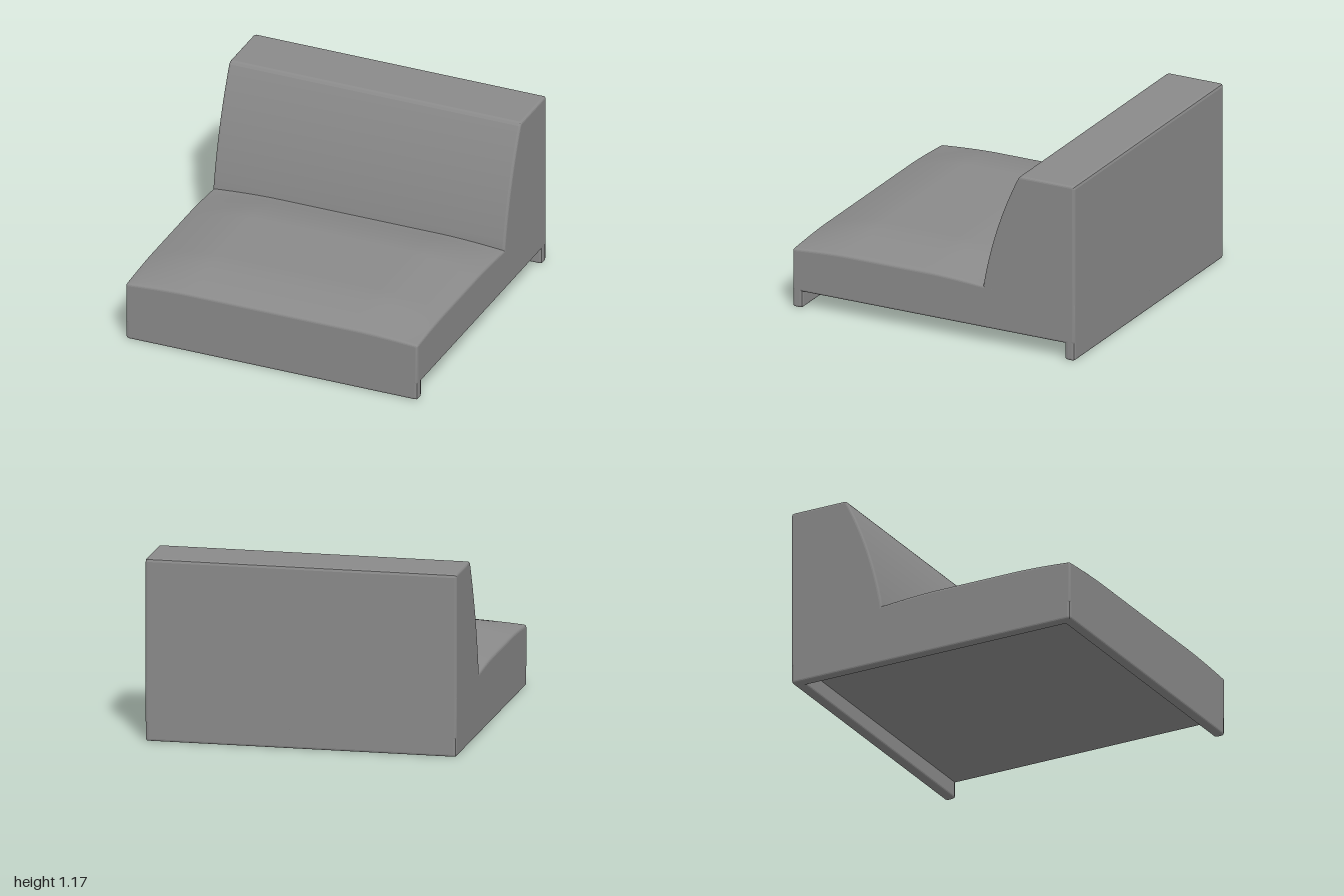
import * as THREE from 'three';
import { toCreasedNormals } from 'three/addons/utils/BufferGeometryUtils.js';

const R = 0.015; // edge rounding
const CORNER = 0.02; // rounding of outline corners
const SEAT_TOP = 0.485, SEAT_BOTTOM = 0.11;

function addPart(group, name, geometry) {
  const material = new THREE.MeshStandardMaterial({ color: 0x8a8a8a });
  // A small crease angle keeps the large faces flat beside their roundings
  const mesh = new THREE.Mesh(toCreasedNormals(geometry, 0.2), material);
  mesh.name = name;
  group.add(mesh);
}

// Segmented box with rounded edges
function roundedBlock(w, h, d, segs, r, k = 2) {
  const geo = new THREE.BoxGeometry(1, 1, 1, ...segs);
  const pos = geo.attributes.position;
  const sizes = [w, h, d];
  const p = new THREE.Vector3(), inner = new THREE.Vector3();
  for (let i = 0; i < pos.count; i++) {
    p.fromBufferAttribute(pos, i);
    for (let a = 0; a < 3; a++) {
      const n = segs[a], half = sizes[a] / 2;
      const j = Math.round((p.getComponent(a) + 0.5) * n);
      // The outer k rows on each side fall inside the rounding
      let v;
      if (j <= k) v = -half + (r * j) / k;
      else if (j >= n - k) v = half - (r * (n - j)) / k;
      else v = -half + r + ((j - k) / (n - 2 * k)) * 2 * (half - r);
      p.setComponent(a, v);
      inner.setComponent(a, THREE.MathUtils.clamp(v, r - half, half - r));
    }
    p.sub(inner).setLength(r).add(inner);
    pos.setXYZ(i, p.x, p.y, p.z);
  }
  return geo;
}

// Closed outline from [a, b, rounded] corners
function outline(corners) {
  const pts = corners.map(([a, b]) => new THREE.Vector2(a, b));
  const result = pts.flatMap((p, i) => {
    if (!corners[i][2]) return [p];
    const toward = (q) => q.clone().sub(p).setLength(CORNER).add(p);
    const before = toward(pts.at(i - 1)), after = toward(pts[(i + 1) % pts.length]);
    return new THREE.QuadraticBezierCurve(before, p, after).getPoints(2);
  });
  return new THREE.Shape(result);
}

function extrudeRounded(shape, depth) {
  return new THREE.ExtrudeGeometry(shape, {
    depth: depth - 2 * R, bevelEnabled: true, bevelThickness: R, bevelSize: R,
    bevelOffset: -R, bevelSegments: 3,
  }).translate(0, 0, R);
}

// How far the padded seat drops from its flat middle
function seatDrop(x, z) {
  const ease = (u, flat) => Math.pow(THREE.MathUtils.clamp((u - flat) / (1 - flat), 0, 1), 1.6);
  const fx = ease(Math.abs(x), 0.57);
  const fz = ease(Math.abs(z - 0.325) / 0.675, 0.42);
  return 0.075 * (fx + fz) - 0.055 * fx * fz;
}

export function createModel() {
  const group = new THREE.Group();
  group.name = 'sofaModule';

  // Seat block with a gently crowned top
  const height = SEAT_TOP - SEAT_BOTTOM;
  const seat = roundedBlock(2, height, 2, [52, 5, 52], R);
  seat.translate(0, SEAT_BOTTOM + height / 2, 0);
  const pos = seat.attributes.position;
  for (let i = 0; i < pos.count; i++) {
    if (pos.getY(i) > 0.3) pos.setY(i, pos.getY(i) - seatDrop(pos.getX(i), pos.getZ(i)));
  }
  addPart(group, 'seat', seat);

  // Backrest: curved side profile (horizontal = distance towards the back)
  const frontCurve = new THREE.QuadraticBezierCurve(
    new THREE.Vector2(0.605, 1.175), new THREE.Vector2(0.42, 0.807), new THREE.Vector2(0.35, 0.39));
  const profile = outline([
    [0.35, 0.25], [1, 0.25], [1, 1.175, true],
    ...frontCurve.getPoints(12).map((p, i) => [p.x, p.y, i === 0]),
  ]);
  const back = extrudeRounded(profile, 2).translate(0, 0, -1).rotateY(Math.PI / 2);
  addPart(group, 'backrest', back);

  // Skirt around the front, back and one side, open at +x
  const skirt = outline([
    [1, 1, true], [-1, 1, true], [-1, -1, true], [1, -1, true],
    [1, -0.93, true], [-0.93, -0.93], [-0.93, 0.93], [1, 0.93, true],
  ]);
  addPart(group, 'baseSkirt', extrudeRounded(skirt, 0.17).rotateX(-Math.PI / 2));

  return group;
}
